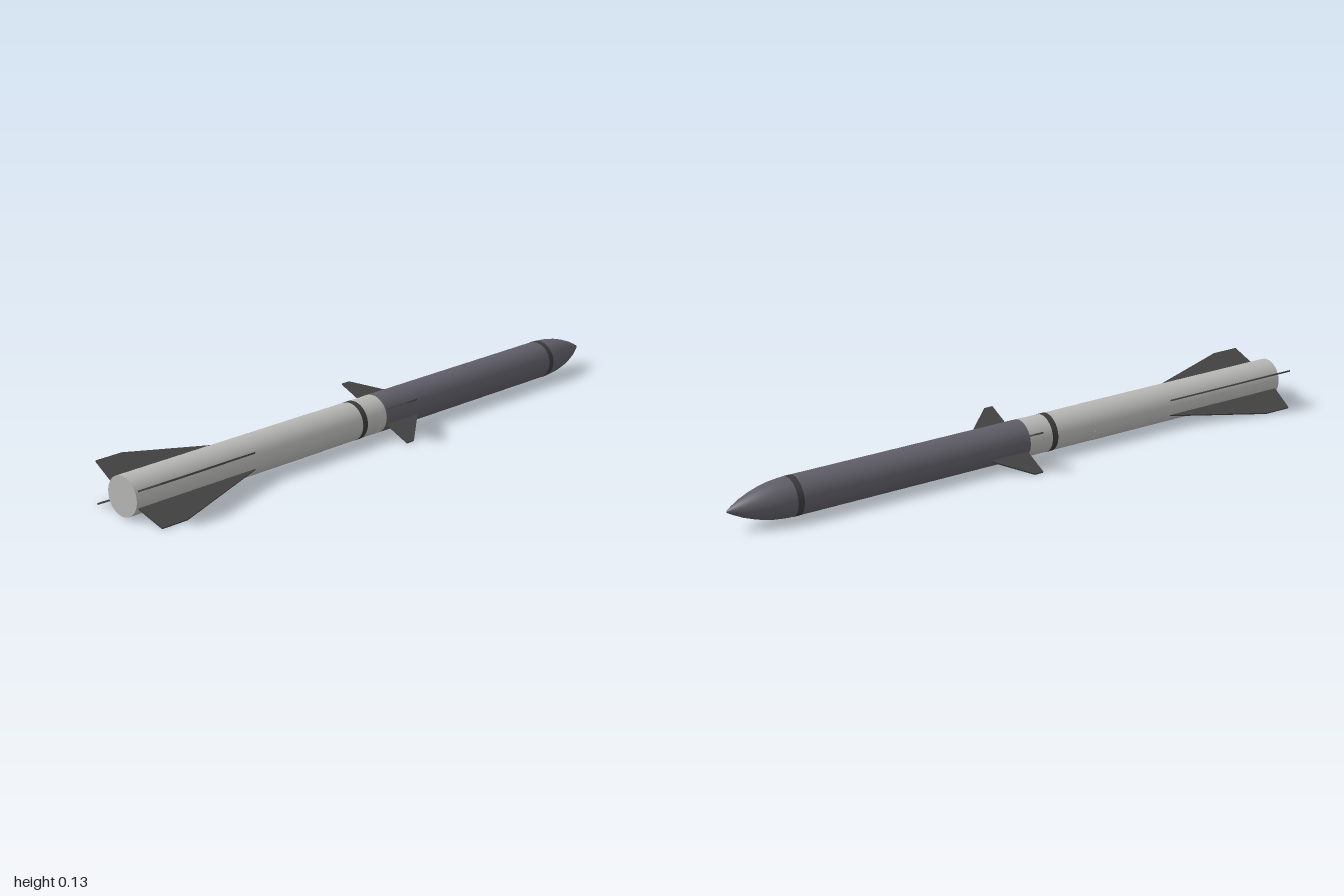
import * as THREE from 'three';

const AXIS_Y = 0.0665;

const material = (name, color) => new THREE.MeshStandardMaterial({ name, color });

export function createModel() {
  const lightGrey = material('light grey', 0xb6b6b5);
  const darkGrey = material('dark grey', 0x5f5d66);
  const finGrey = material('fin grey', 0x444444);
  const bandGrey = material('band grey', 0x3b3b3b);

  const model = new THREE.Group();
  model.name = 'missile';
  const body = new THREE.Group();
  body.name = 'airframe';
  body.position.y = AXIS_Y;
  model.add(body);

  const add = (name, geometry, mat) => {
    const mesh = new THREE.Mesh(geometry, mat);
    mesh.name = name;
    body.add(mesh);
    return mesh;
  };

  // Cylinder lying along x
  const tube = (name, x0, x1, radius, mat) => {
    const geometry = new THREE.CylinderGeometry(radius, radius, x1 - x0, 40);
    geometry.rotateZ(-Math.PI / 2).translate((x0 + x1) / 2, 0, 0);
    return add(name, geometry, mat);
  };

  // Body sections, with a slight step at each joint
  tube('rocketMotor', -1, -0.25, 0.0602, lightGrey);
  tube('midSection', -0.25, -0.03, 0.0596, lightGrey);
  tube('couplingRing', -0.03, -0.005, 0.06, lightGrey);
  tube('forwardSection', -0.005, 0.785, 0.0602, darkGrey);

  // Painted bands
  tube('rearBand', -0.108, -0.088, 0.0602, bandGrey);
  tube('noseBand', 0.78, 0.8, 0.0606, bandGrey);

  // Pointed nose
  const profile = [
    [0.06, 0.795], [0.0592, 0.82], [0.0555, 0.855], [0.0495, 0.885],
    [0.041, 0.915], [0.028, 0.95], [0.014, 0.978], [0.005, 0.994], [0, 1],
  ].map(([r, x]) => new THREE.Vector2(r, x));
  const nose = new THREE.LatheGeometry(profile, 40);
  nose.rotateZ(-Math.PI / 2);
  add('nose', nose, darkGrey);

  // Fin outline: x along the body, y outward from the axis
  const finGeometry = (points) => {
    const shape = new THREE.Shape(points.map(([x, r]) => new THREE.Vector2(x, r)));
    const depth = 0.005;
    return new THREE.ExtrudeGeometry(shape, { depth, bevelEnabled: false })
      .translate(0, 0, -depth / 2);
  };
  const tailFin = finGeometry([
    [-0.99, 0.045], [-0.55, 0.045], [-0.55, 0.06], [-0.885, 0.151], [-0.978, 0.151], [-0.99, 0.06],
  ]);
  const midFin = finGeometry([
    [0.003, 0.045], [0.137, 0.045], [0.137, 0.062], [0.033, 0.151], [0.003, 0.151],
  ]);

  // Four fins per set, in a flattened X
  for (const degrees of [65, 115, -65, -115]) {
    const angle = THREE.MathUtils.degToRad(degrees);
    add('tailFin', tailFin, finGrey).rotation.x = angle;
    add('midFin', midFin, finGrey).rotation.x = angle;
  }

  return model;
}
